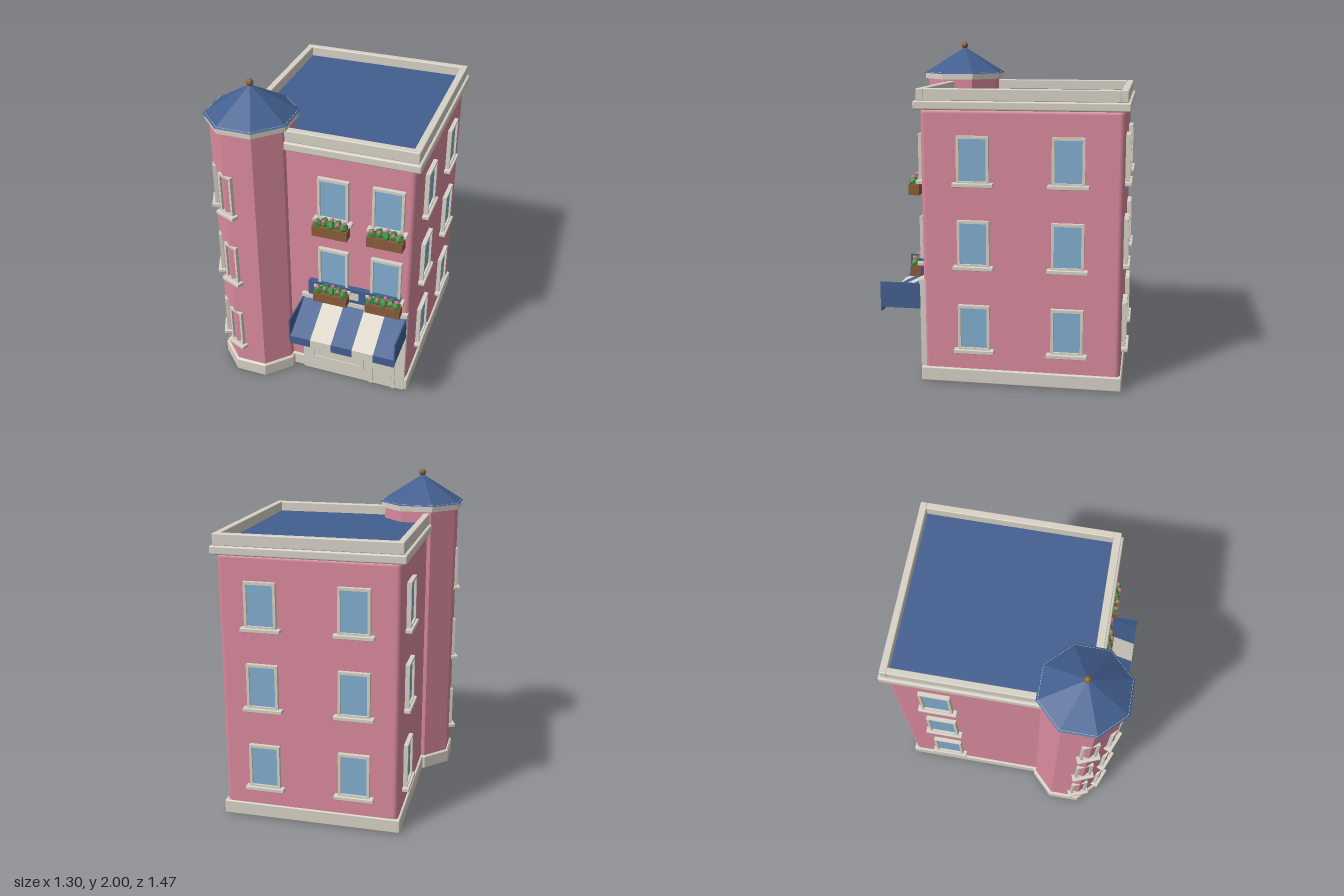
import * as THREE from 'three';
import { toCreasedNormals } from 'three/addons/utils/BufferGeometryUtils.js';
import { RoundedBoxGeometry } from 'three/addons/geometries/RoundedBoxGeometry.js';

const mat = (name, color) => {
  const m = new THREE.MeshStandardMaterial({ color });
  m.name = name;
  return m;
};

export function createModel() {
  const pink = mat('pink plaster', 0xd98a9d);
  const cream = mat('cream trim', 0xd8d2c6);
  const blue = mat('slate blue', 0x435f90);
  const glass = mat('window glass', 0x82aed0);
  const wood = mat('planter wood', 0x8a5c3a);
  const leaf = mat('leaf green', 0x3f8a3c);
  const petal = mat('flower pink', 0xd0708f);

  const model = new THREE.Group();
  model.name = 'townHouse';

  const add = (parent, name, geo, material, x = 0, y = 0, z = 0) => {
    const m = new THREE.Mesh(geo, material);
    m.name = name;
    m.position.set(x, y, z);
    parent.add(m);
    return m;
  };
  // Box given by its min and max corners, optionally with soft edges
  const block = (parent, name, material, x0, x1, y0, y1, z0, z1, r = 0) => {
    const s = [x1 - x0, y1 - y0, z1 - z0];
    const geo = r ? new RoundedBoxGeometry(...s, 2, r) : new THREE.BoxGeometry(...s);
    return add(parent, name, geo, material, (x0 + x1) / 2, (y0 + y1) / 2, (z0 + z1) / 2);
  };
  const group = (name, parent = model) => {
    const g = new THREE.Group();
    g.name = name;
    parent.add(g);
    return g;
  };

  // Main building: walls, plinth, cornice, parapet and flat roof
  const house = group('mainBuilding');
  block(house, 'walls', pink, -0.45, 0.61, 0, 1.64, -0.695, 0.472, 0.03);
  block(house, 'plinth', cream, -0.465, 0.625, 0.003, 0.09, -0.705, 0.487, 0.008);
  block(house, 'cornice', cream, -0.48, 0.64, 1.63, 1.682, -0.725, 0.505, 0.01);
  block(house, 'roofDeck', blue, -0.43, 0.59, 1.675, 1.69, -0.675, 0.447);
  for (const [z0, z1] of [[-0.71, -0.668], [0.442, 0.488]])
    block(house, 'parapetEnd', cream, -0.463, 0.625, 1.68, 1.75, z0, z1, 0.006);
  for (const [x0, x1] of [[-0.463, -0.423], [0.583, 0.625]])
    block(house, 'parapetSide', cream, x0, x1, 1.68, 1.75, -0.67, 0.445, 0.006);

  // Octagonal corner tower; sizes are centre-to-flat distances
  const tower = group('tower');
  tower.position.set(-0.38, 0, 0.42);
  const octagon = (name, material, top, bottom, y0, y1) => {
    const k = 1 / Math.cos(Math.PI / 8);
    const geo = new THREE.CylinderGeometry(top * k, bottom * k, y1 - y0, 8).rotateY(Math.PI / 8);
    return add(tower, name, toCreasedNormals(geo, 0.3), material, 0, (y0 + y1) / 2, 0);
  };
  octagon('towerWalls', pink, 0.225, 0.225, 0, 1.77);
  octagon('towerPlinth', cream, 0.24, 0.24, 0.003, 0.08);
  octagon('towerPlinthBevel', cream, 0.232, 0.24, 0.08, 0.088);
  octagon('towerCornice', cream, 0.246, 0.246, 1.762, 1.804);
  octagon('towerRoof', blue, 0.002, 0.255, 1.797, 1.965);
  add(tower, 'finial', toCreasedNormals(new THREE.IcosahedronGeometry(0.022, 1), 0.2), wood, 0, 1.978, 0);

  // Window with frame, pane and sill; local +z points out of the wall
  const addWindow = (parent, x, y, z, turn, w, h, sillW, out) => {
    const g = group('window', parent);
    g.position.set(x, y, z);
    g.rotation.y = turn;
    const rect = (s, a, b) => s.moveTo(-a, -b).lineTo(a, -b).lineTo(a, b).lineTo(-a, b).closePath();
    const shape = rect(new THREE.Shape(), w / 2, h / 2);
    shape.holes.push(rect(new THREE.Path(), w / 2 - 0.016, h / 2 - 0.016));
    const geo = new THREE.ExtrudeGeometry(shape, { depth: 0.034, bevelEnabled: false });
    add(g, 'windowFrame', geo, cream, 0, 0, -0.008);
    add(g, 'windowPane', new THREE.BoxGeometry(w - 0.03, h - 0.03, 0.009), glass, 0, 0, 0.008);
    block(g, 'windowSill', cream, -sillW / 2, sillW / 2, -h / 2 - 0.018, -h / 2 + 0.006, -0.01, out, 0.004);
  };
  const rows = [0.35, 0.858, 1.348];
  const wallWindow = (x, y, z, turn) => addWindow(house, x, y, z, turn, 0.188, 0.275, 0.238, 0.04);
  rows.forEach((y, i) => {
    for (const z of [0.163, -0.385]) wallWindow(0.61, y, z, Math.PI / 2);
    for (const x of [-0.19, 0.355]) wallWindow(x, y, -0.695, Math.PI);
    wallWindow(-0.45, y, -0.428, -Math.PI / 2);
    if (i > 0) for (const x of [0.132, 0.462]) wallWindow(x, y, 0.472, 0);
    for (const a of [Math.PI / 8, 3 * Math.PI / 8])
      addWindow(tower, -Math.sin(a) * 0.217, y + 0.003, Math.cos(a) * 0.217, -a, 0.104, 0.262, 0.14, 0.046);
  });

  // Flower boxes under the front windows
  const bush = toCreasedNormals(new THREE.IcosahedronGeometry(0.034, 0), 0.1);
  const bloom = toCreasedNormals(new THREE.IcosahedronGeometry(0.014, 0), 0.1);
  for (const y of [0.635, 1.125]) for (const x of [0.13, 0.463]) {
    const g = group('flowerBox');
    g.position.set(x, y, 0.525);
    block(g, 'planter', wood, -0.108, 0.108, 0, 0.065, -0.032, 0.032);
    for (let i = 0; i < 5; i++) {
      const b = add(g, 'bush', bush, leaf, -0.08 + i * 0.04, 0.076, i % 2 ? -0.008 : 0.004);
      b.rotation.y = i * 1.3;
      b.scale.set(0.9, i % 2 ? 1.2 : 1, 0.85);
    }
    [[-0.082, 0.1, 0.016], [-0.035, 0.103, 0.018], [0.01, 0.112, -0.004], [0.05, 0.1, 0.02], [0.085, 0.104, 0.005]]
      .forEach((p) => add(g, 'flower', bloom, petal, ...p));
  }

  // Shop front with display panel and door
  const shop = group('shopFront');
  block(shop, 'shopPanel', cream, -0.075, 0.605, 0.002, 0.6, 0.45, 0.491);
  block(shop, 'shopLintel', cream, -0.075, 0.605, 0.598, 0.625, 0.45, 0.497);
  const border = (name, x0, x1, y0, y1, t, z) => {
    block(shop, name, cream, x0, x0 + t, y0, y1, 0.488, z);
    block(shop, name, cream, x1 - t, x1, y0, y1, 0.488, z);
    block(shop, name, cream, x0 + t, x1 - t, y1 - t, y1, 0.488, z);
    if (y0 > 0.05) block(shop, name, cream, x0 + t, x1 - t, y0, y0 + t, 0.488, z);
  };
  border('displayFrame', -0.025, 0.335, 0.095, 0.54, 0.026, 0.498);
  border('doorFrame', 0.375, 0.545, 0.003, 0.54, 0.022, 0.499);
  block(shop, 'door', cream, 0.4, 0.52, 0.003, 0.515, 0.488, 0.494);

  // Shop sign board with a plain light plate
  block(shop, 'signBoard', blue, -0.025, 0.56, 0.64, 0.742, 0.47, 0.505);
  block(shop, 'signPlate', cream, 0.24, 0.3, 0.665, 0.718, 0.503, 0.508);

  // Striped awning: sloping cloth, hanging valance and end panels
  const awning = group('awning');
  const slope = new THREE.Shape([[0.49, 0.6], [0.735, 0.475], [0.735, 0.465], [0.49, 0.59]]
    .map(([z, y]) => new THREE.Vector2(-z, y)));
  const stripe = 0.133;
  for (let i = 0; i < 5; i++) {
    const x = -0.065 + i * stripe;
    const m = i % 2 ? cream : blue;
    const geo = new THREE.ExtrudeGeometry(slope, { depth: stripe, bevelEnabled: false }).rotateY(Math.PI / 2);
    add(awning, 'awningStripe', geo, m, x, 0, 0);
    block(awning, 'awningValance', m, x, x + stripe, 0.42, 0.474, 0.728, 0.737);
  }
  for (const x of [-0.068, 0.594])
    block(awning, 'awningEnd', blue, x, x + 0.009, 0.445, 0.6, 0.49, 0.736);

  return model;
}
